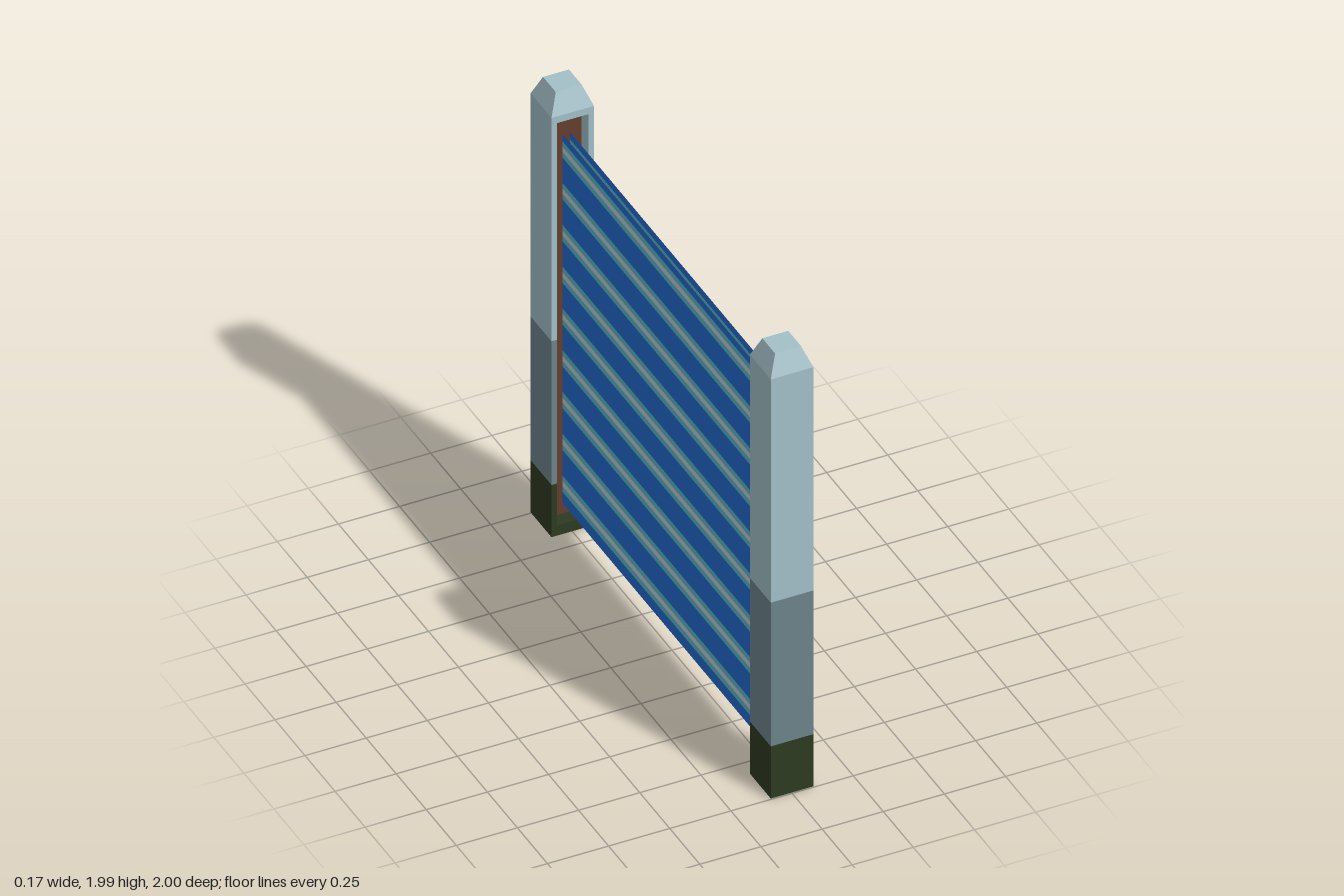
import * as THREE from 'three';
import { mergeGeometries } from 'three/addons/utils/BufferGeometryUtils.js';

const mat = (name, color, side = THREE.FrontSide) => {
  const m = new THREE.MeshStandardMaterial({ color, side });
  m.name = name;
  return m;
};

const HALF = 0.087;        // half width of a post
const SLOT = 0.064;        // half width of the slot
const DEPTH = 0.065;       // depth of the slot
const POST_Z = 1 - HALF;

export function createModel() {
  const model = new THREE.Group();
  model.name = 'barrier';
  const paleSteel = mat('pale steel', 0xa3bfc7);
  const midSteel = mat('mid steel', 0x6d838b);
  const darkGreen = mat('dark green', 0x2e3a22);
  const rust = mat('rust brown', 0x643e2e);
  const blue = mat('blue', 0x2169cf, THREE.DoubleSide);
  const cyan = mat('cyan', 0x58b9c9, THREE.DoubleSide);
  const silver = mat('silver', 0xc4ccd2, THREE.DoubleSide);

  const add = (parent, name, geometry, material) => {
    const mesh = new THREE.Mesh(geometry, material);
    mesh.name = name;
    parent.add(mesh);
    return mesh;
  };

  // Vertical length of post, either solid or with a slot facing local -z
  const length = (y0, y1, slotted) => {
    const pts = [[-HALF, -HALF], [HALF, -HALF], [HALF, HALF]];
    if (slotted) {
      pts.push([SLOT, HALF], [SLOT, HALF - DEPTH], [-SLOT, HALF - DEPTH], [-SLOT, HALF]);
    }
    pts.push([-HALF, HALF]);
    const shape = new THREE.Shape(pts.map(([x, y]) => new THREE.Vector2(x, y)));
    return new THREE.ExtrudeGeometry(shape, { depth: y1 - y0, bevelEnabled: false })
      .rotateX(-Math.PI / 2).translate(0, y0, 0);
  };

  const makePost = (name) => {
    const post = new THREE.Group();
    post.name = name;
    add(post, 'postFoot', mergeGeometries([length(0.004, 0.05, false), length(0.05, 0.24, true)]), darkGreen);
    add(post, 'postLower', length(0.24, 0.89, true), midSteel);
    add(post, 'postUpper', mergeGeometries([length(0.89, 1.87, true), length(1.87, 1.9, false)]), paleSteel);

    // Tapered cap
    const cap = new THREE.CylinderGeometry(0.053 * Math.SQRT2, HALF * Math.SQRT2, 0.085, 4)
      .rotateY(Math.PI / 4).toNonIndexed();
    cap.computeVertexNormals();
    add(post, 'postCap', cap, paleSteel).position.y = 1.9425;

    // Slot lining and underside plate
    add(post, 'slotLining', new THREE.BoxGeometry(SLOT * 2, 1.82, 0.006), rust)
      .position.set(0, 0.96, -HALF + DEPTH - 0.003);
    add(post, 'undersidePlate', new THREE.BoxGeometry(0.1, 0.006, 0.1), rust).position.y = 0.003;
    return post;
  };

  const front = makePost('frontPost');
  front.position.z = POST_Z;
  const back = makePost('backPost');
  back.position.z = -POST_Z;
  back.rotation.y = Math.PI;
  model.add(front, back);

  // Striped panel: two close sheets divided into horizontal bands
  const bands = { blue: [], cyan: [], silver: [] };
  const band = (color, y0, y1) => {
    for (const side of [1, -1]) {
      bands[color].push(new THREE.PlaneGeometry(1.76, y1 - y0)
        .rotateY(side * Math.PI / 2).translate(side * 0.015, (y0 + y1) / 2, 0));
    }
  };
  let bottom = 0.1;
  for (let i = 0; i < 9; i++) {
    const y = 0.188 + i * 0.189;
    band('blue', bottom, y - 0.037);
    band('cyan', y - 0.037, y - 0.012);
    band('silver', y - 0.012, y + 0.012);
    band('cyan', y + 0.012, y + 0.037);
    bottom = y + 0.037;
  }
  band('blue', bottom, 1.77);

  const panel = new THREE.Group();
  panel.name = 'panel';
  add(panel, 'panelField', mergeGeometries(bands.blue), blue);
  add(panel, 'panelStripeEdges', mergeGeometries(bands.cyan), cyan);
  add(panel, 'panelStripeCores', mergeGeometries(bands.silver), silver);
  model.add(panel);
  return model;
}
